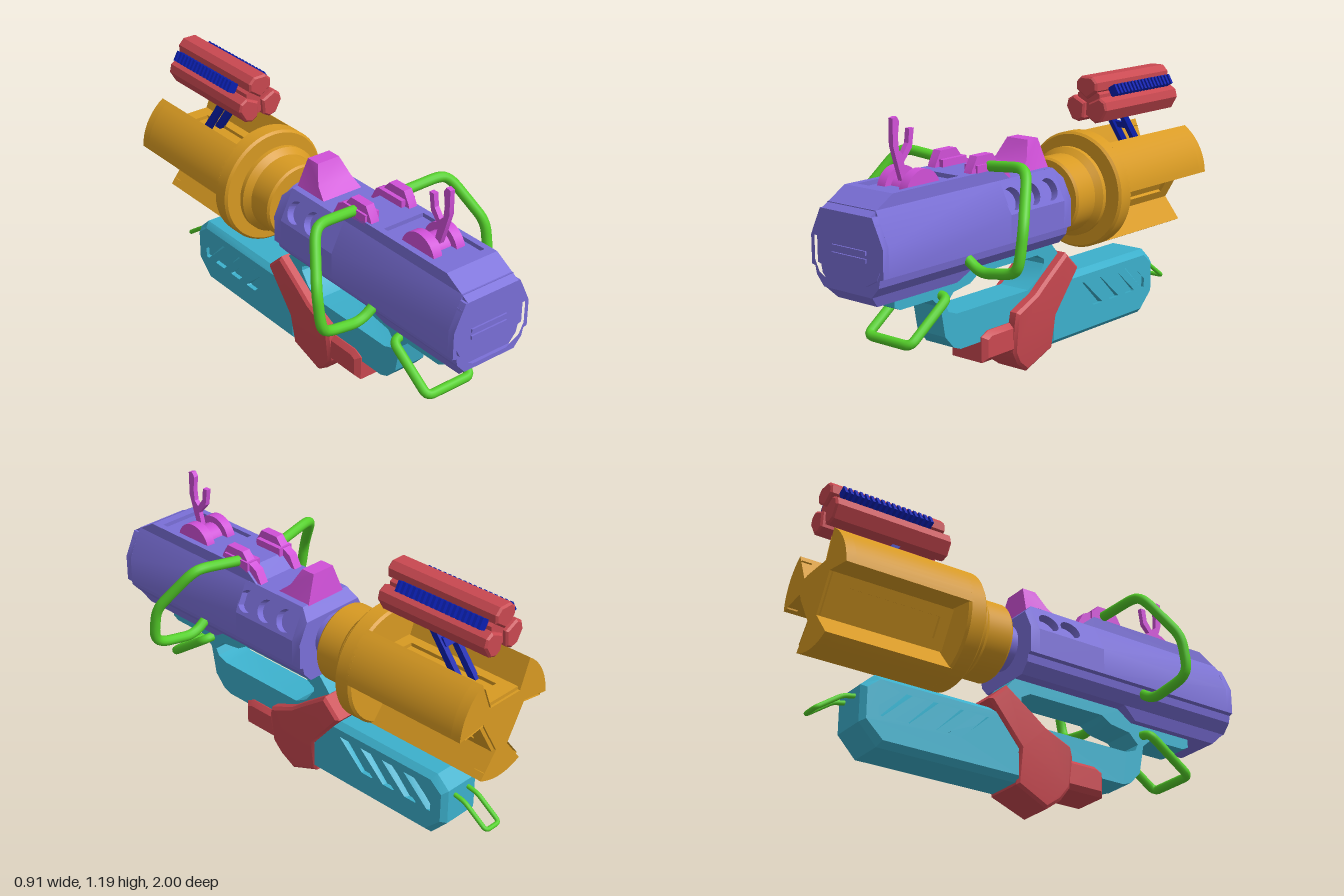
import * as THREE from 'three';
import { toCreasedNormals } from 'three/addons/utils/BufferGeometryUtils.js';

const mats = {};
for (const [k, c] of Object.entries({
  purple: 0x7a6fd8, gold: 0xd89a22, teal: 0x3cb0cc, red: 0xc94850, green: 0x55d02a, pink: 0xd050d8, blue: 0x0a1fb0,
})) mats[k] = new THREE.MeshStandardMaterial({ color: c });

const toShape = (pts, holes = []) => {
  const s = new THREE.Shape(pts.map(p => new THREE.Vector2(...p)));
  for (const h of holes) s.holes.push(h instanceof THREE.Path ? h : new THREE.Path(h.map(p => new THREE.Vector2(...p))));
  return s;
};
// Solid from an (x, y) section running z0..z1, with optional edge bevel
function prism(pts, z0, z1, holes, bevel = 0) {
  const g = new THREE.ExtrudeGeometry(toShape(pts, holes), {
    depth: z1 - z0 - 2 * bevel, curveSegments: 24, bevelEnabled: bevel > 0,
    bevelSize: bevel, bevelThickness: bevel, bevelOffset: -bevel, bevelSegments: 1,
  });
  return g.translate(0, 0, z0 + bevel);
}
// Solid from a (z, y) side profile running x0..x1
const slab = (pts, x0, x1, holes, bevel) => prism(pts, -x1, -x0, holes, bevel).rotateY(-Math.PI / 2);
// Moves every vertex by a rule
function warp(g, rule) {
  const p = g.attributes.position, v = new THREE.Vector3();
  for (let i = 0; i < p.count; i++) { v.fromBufferAttribute(p, i); rule(v); p.setXYZ(i, v.x, v.y, v.z); }
  g.computeVertexNormals();
  return g;
}
// Round bar along a path with rounded corners
function bar(points, r, corner) {
  const P = points.map(p => new THREE.Vector3(...p)), path = new THREE.CurvePath();
  let last = P[0];
  for (let i = 1; i < P.length - 1; i++) {
    const near = q => q.clone().sub(P[i]).setLength(Math.min(corner, q.distanceTo(P[i]) * 0.45)).add(P[i]);
    const a = near(P[i - 1]), b = near(P[i + 1]);
    path.add(new THREE.LineCurve3(last, a));
    path.add(new THREE.QuadraticBezierCurve3(a, P[i], b));
    last = b;
  }
  path.add(new THREE.LineCurve3(last, P[P.length - 1]));
  return new THREE.TubeGeometry(path, 72, r, 12);
}
// Full symmetric outline from its right half, listed top to bottom
const mirror = half => [...half, ...half.map(([x, y]) => [-x, y]).reverse()];
const rect = (a, b, c, d) => [[a, c], [b, c], [b, d], [a, d]];

export function createModel() {
  const root = new THREE.Group();
  const add = (name, color, g, smooth) => {
    const m = new THREE.Mesh(smooth ? g : toCreasedNormals(g, 0.5), mats[color]);
    m.name = name;
    root.add(m);
  };

  // Main housing
  const low = [[0.19, 0.62], [0.172, 0.615], [0.165, 0.583], [0.127, 0.54]];
  const full = mirror([[0.127, 0.866], [0.19, 0.735], ...low]);
  const cut = mirror([[0.127, 0.866], [0.0955, 0.851], [0.1585, 0.72], [0.19, 0.735], ...low]);
  add('housingFront', 'purple', prism(full, 0.28, 0.97));
  add('housingRear', 'purple', prism(cut, -0.055, 0.28));
  add('housingTail', 'purple', warp(prism(full, -0.1, -0.055), v => {
    if (v.z < -0.09 && v.y > 0.8) { v.y = 0.82; v.x *= 1.17; }
  }));
  const recess = mirror([[0.15, 0.82], [0.172, 0.76], [0.172, 0.64], [0.15, 0.595], [0.085, 0.56]]);
  add('muzzleRim', 'purple', prism(mirror([[0.137, 0.845], [0.19, 0.735], ...low]), 0.97, 1, [recess]));
  add('muzzlePanel', 'purple', prism(recess.map(([x, y]) => [x * 0.93, 0.7 + (y - 0.7) * 0.92]), 0.96, 0.985));
  for (const y of [0.672, 0.702]) add('muzzleRib', 'purple', prism(rect(-0.09, 0.09, y - 0.008, y + 0.008), 0.97, 0.992));

  // Slanted side plates with three round ports
  for (const s of [1, -1]) {
    const ports = [0.24, 0.123, 0.011].map(z => new THREE.Path().absarc(s * z, 0.062, 0.048, 0, Math.PI * 2));
    const g = prism(rect(-0.055 * s, 0.28 * s, 0, 0.1453), 0, 0.035, ports);
    g.applyMatrix4(new THREE.Matrix4().makeBasis(
      new THREE.Vector3(0, 0, s), new THREE.Vector3(-0.4334 * s, 0.9012, 0), new THREE.Vector3(-0.9012 * s, -0.4334, 0),
    ).setPosition(0.19 * s, 0.735, 0));
    add('portPlate', 'purple', g);
  }

  // Raised top deck with a well, sloped nose and underside keel
  const deck = prism(rect(-0.127, 0.127, -0.88, -0.28), 0.86, 0.915, [rect(-0.1, 0.1, -0.84, -0.49)]);
  add('topDeck', 'purple', deck.rotateX(-Math.PI / 2));
  add('deckFloor', 'purple', slab(rect(0.48, 0.85, 0.86, 0.897), -0.11, 0.11));
  add('deckNose', 'purple', slab([[0.88, 0.915], [0.88, 0.82], [1, 0.82], [1, 0.845]], -0.127, 0.127));
  add('deckRamp', 'purple', slab([[0.28, 0.915], [0.28, 0.86], [0.22, 0.866]], -0.127, 0.127));
  add('keel', 'purple', warp(slab([[1, 0.545], [0.95, 0.492], [0.51, 0.492], [0.43, 0.545]], -0.127, 0.127), v => {
    if (v.y < 0.5) v.x *= 0.83;
  }));

  // Round neck and stepped collar
  const turned = (pts, n) => new THREE.LatheGeometry(pts.map(p => new THREE.Vector2(...p)), n)
    .rotateX(Math.PI / 2).translate(0, 0.705, 0);
  add('neck', 'purple', turned([[0.1, -0.2], [0.1, -0.08]], 40));
  add('collar', 'gold', turned([[0, -0.44], [0.245, -0.44], [0.255, -0.43], [0.255, -0.365], [0.245, -0.355], [0.175, -0.355],
    [0.175, -0.34], [0.195, -0.335], [0.195, -0.315], [0.17, -0.29], [0.17, -0.18], [0.162, -0.17], [0, -0.17]], 56));

  // Three-lobed barrel with a hollow end and a slotted plate in each groove
  const deg = Math.PI / 180, lobes = [];
  for (const c of [30, 150, 270]) {
    lobes.push([0.127 * Math.cos((c - 15) * deg), 0.127 * Math.sin((c - 15) * deg)]);
    for (let a = -27; a <= 27; a += 6) lobes.push([0.255 * Math.cos((c + a) * deg), 0.255 * Math.sin((c + a) * deg)]);
    lobes.push([0.127 * Math.cos((c + 15) * deg), 0.127 * Math.sin((c + 15) * deg)]);
  }
  add('barrel', 'gold', prism(lobes, -0.955, -0.42).translate(0, 0.705, 0));
  add('barrelRim', 'gold', prism(lobes, -1, -0.955, [lobes.map(([x, y]) => [x * 0.87, y * 0.87])]).translate(0, 0.705, 0));
  for (const a of [0, 120, 240]) {
    const plate = prism(rect(-0.088, 0.088, 0.43, 0.99), 0, 0.02, [rect(-0.045, 0.045, 0.49, 0.92)]);
    plate.rotateX(-Math.PI / 2).translate(0, 0.085, 0).rotateZ(a * deg).translate(0, 0.705, 0);
    add('groovePlate', 'gold', plate);
  }

  // Three-cell pack above the barrel, with cooling fins and struts
  const at = (g, a) => g.rotateZ(a * deg).translate(0, 1.08, 0);
  const cell = [[0.012, 0], [0.05, -0.055], [0.085, -0.055], [0.11, -0.03], [0.11, 0.03], [0.085, 0.055], [0.05, 0.055]];
  for (const a of [90, 210, 330]) add('packCell', 'red', at(prism(cell, -0.98, -0.44, [], 0.008), a));
  add('packCore', 'red', new THREE.CylinderGeometry(0.068, 0.068, 0.5, 6).rotateX(Math.PI / 2).translate(0, 1.08, -0.71));
  for (const a of [30, 150]) for (let i = 0; i < 17; i++)
    add('coolingFin', 'blue', at(new THREE.BoxGeometry(0.04, 0.045, 0.013).translate(0.092, 0, -0.535 - i * 0.025), a));
  for (const s of [-1, 1]) add('packStrut', 'blue',
    slab([[-0.62, 1.03], [-0.655, 1.03], [-0.84, 0.79], [-0.8, 0.79]], s * 0.038 - 0.012, s * 0.038 + 0.012));
  add('strutBrace', 'blue', slab([[-0.69, 0.96], [-0.72, 0.96], [-0.74, 0.93], [-0.71, 0.93]], -0.04, 0.04));

  // Grip frame with hand opening
  add('gripFrame', 'teal', slab(
    [[0.83, 0.52], [0.83, 0.455], [0.8, 0.44], [0.62, 0.44], [0.575, 0.4], [0.55, 0.27], [0.5, 0.215], [0.46, 0.2],
      [0.05, 0.2], [-0.2, 0.4], [-0.16, 0.47], [-0.08, 0.56], [0.5, 0.56]], -0.075, 0.075,
    [[[0.545, 0.4], [0.5, 0.445], [0.4, 0.46], [0.35, 0.49], [-0.02, 0.49], [-0.065, 0.465], [-0.065, 0.445],
      [-0.02, 0.385], [0.04, 0.352], [0.48, 0.352], [0.53, 0.37]]]));

  // Fore grip with slanted vents on both sides
  const fore = [[-0.08, 0.375], [-0.76, 0.375], [-0.82, 0.32], [-0.82, 0.165], [-0.74, 0.08], [-0.08, 0.08]];
  const lim = z => Math.max(z, -0.765);
  const vents = [0, 1, 2, 3].map(i => -0.235 - i * 0.125).map(z =>
    [[z, 0.335], [z - 0.06, 0.335], [lim(z - 0.2), z < -0.6 ? 0.245 : 0.2], [lim(z - 0.195), 0.195], [z - 0.135, 0.195]]);
  add('foreGrip', 'teal', slab(fore, -0.08, 0.08));
  for (const s of [-1, 1]) {
    const g = slab(fore, s > 0 ? 0.08 : -0.105, s > 0 ? 0.105 : -0.08, vents);
    add('ventPlate', 'teal', warp(g, v => {
      if (Math.abs(v.x) > 0.1) { v.y = 0.228 + (v.y - 0.228) * 0.84; v.z = -0.45 + (v.z + 0.45) * 0.95; }
    }));
  }

  // Angled clamp joining the grips, narrowed at its foot
  const taper = v => { if (v.y < 0.2) v.x *= 0.7 + 1.5 * v.y; };
  add('clamp', 'red', warp(slab([[-0.165, 0.48], [-0.25, 0.4], [-0.1, 0.22], [-0.1, 0.07], [0.055, 0.002], [0.12, 0.05],
    [0.16, 0.11], [0.165, 0.24], [0.155, 0.285], [0.03, 0.34], [-0.03, 0.385]], -0.12, 0.12, [], 0.012), taper));
  add('clampStub', 'red', slab([[0.14, 0.11], [0.34, 0.11], [0.34, 0.22], [0.3, 0.24], [0.14, 0.24]], -0.1, 0.1, [], 0.02));

  // Carry handles and loops
  for (const s of [-1, 1]) add('sideHandle', 'green', bar([[0.1, 0.93, 0.33], [0.31, 0.955, 0.36], [0.35, 0.93, 0.38],
    [0.435, 0.76, 0.5], [0.435, 0.62, 0.525], [0.405, 0.58, 0.52], [0.23, 0.55, 0.51], [0.14, 0.61, 0.51]]
    .map(([x, y, z]) => [s * x, y, z]), 0.022, 0.05), true);
  const loop = (half, r, c) => bar([...half, ...half.map(([x, y, z]) => [-x, y, z]).reverse()], r, c);
  add('frontLoop', 'green', loop([[0.06, 0.45, 0.57], [0.115, 0.445, 0.58], [0.115, 0.3, 0.79]], 0.02, 0.03), true);
  add('rearLoop', 'green', loop([[0.04, 0.29, -0.79], [0.04, 0.275, -0.87], [0.04, 0.195, -0.985]], 0.01, 0.02), true);

  // Top lever between two wheels
  for (const s of [-1, 1]) add('leverWheel', 'pink',
    new THREE.CylinderGeometry(0.095, 0.095, 0.042, 32).rotateZ(Math.PI / 2).translate(s * 0.058, 0.872, 0.665));
  add('leverHub', 'pink', new THREE.CylinderGeometry(0.065, 0.065, 0.08, 24).rotateZ(Math.PI / 2).translate(0, 0.872, 0.665));
  add('lever', 'pink', slab([[0.705, 0.9], [0.675, 0.9], [0.7, 0.99], [0.655, 1.04], [0.643, 1.115], [0.668, 1.115],
    [0.675, 1.06], [0.705, 1.02], [0.725, 1.04], [0.73, 1.09], [0.722, 1.15], [0.735, 1.17], [0.757, 1.165],
    [0.757, 1.06], [0.735, 0.99]], -0.011, 0.011));

  // Handle brackets and rear sight
  for (const s of [-1, 1]) {
    add('handleBracket', 'pink', slab([[0.44, 0.9], [0.43, 0.93], [0.4, 0.98], [0.31, 0.98], [0.28, 0.945], [0.23, 0.92],
      [0.2, 0.865], [0.28, 0.865]], s * 0.097 - 0.02, s * 0.097 + 0.02));
    add('bracketFoot', 'pink', slab(rect(0.27, 0.41, 0.9, 0.945), s * 0.092 - 0.035, s * 0.092 + 0.035));
  }
  add('rearSight', 'pink', warp(slab([[0.12, 0.86], [0.06, 0.91], [0.02, 0.985], [-0.045, 0.985], [-0.06, 0.86]], -0.1, 0.1),
    v => { v.x *= 1 - Math.max(0, v.y - 0.866) * 3.8; }));
  return root;
}
